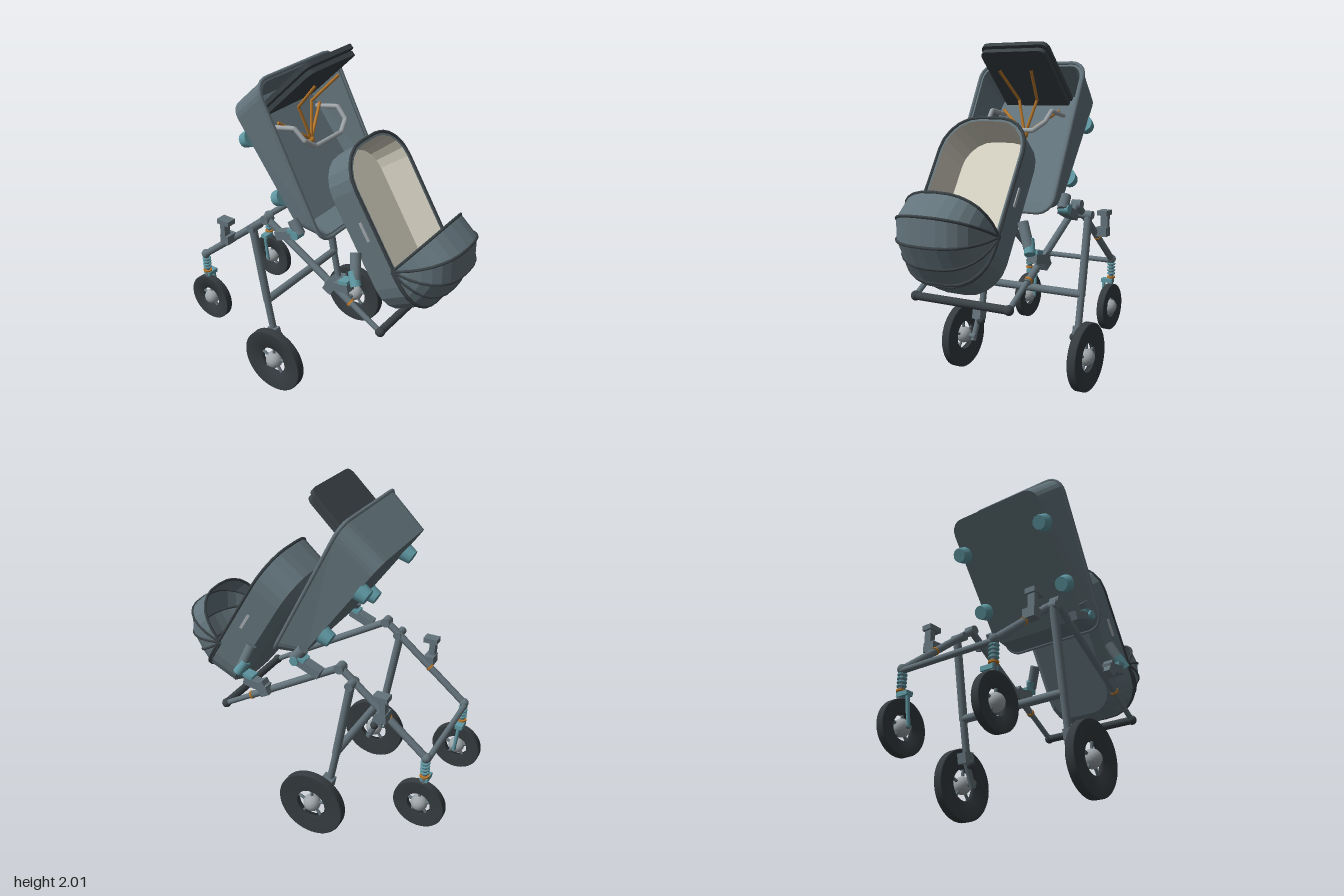
import * as THREE from 'three';

const mat = (name, color, side = THREE.FrontSide, flatShading = false) => {
  const m = new THREE.MeshStandardMaterial({ color, side, flatShading });
  m.name = name;
  return m;
};

export function createModel() {
  const model = new THREE.Group();
  const slate = mat('slate', 0x63747c, THREE.DoubleSide, true);
  const dark = mat('charcoal', 0x3a4246);
  const rubber = mat('rubber', 0x353b3f);
  const teal = mat('teal', 0x5f98a3);
  const cream = mat('cream', 0xd6d2c2, THREE.DoubleSide, true);
  const orange = mat('orange', 0xb8772a);
  const silver = mat('silver', 0x9fa6aa);
  const tubeGrey = mat('frame grey', 0x63727a);

  const V = (x, y, z) => new THREE.Vector3(x, y, z);
  const add = (name, geo, m, parent = model) => {
    const mesh = new THREE.Mesh(geo, m);
    mesh.name = name;
    parent.add(mesh);
    return mesh;
  };
  const rod = (name, a, b, r, m, parent = model, r2 = r) => {
    const mesh = add(name, new THREE.CylinderGeometry(r2, r, a.distanceTo(b), 14), m, parent);
    mesh.position.copy(a).lerp(b, 0.5);
    mesh.quaternion.setFromUnitVectors(V(0, 1, 0), b.clone().sub(a).normalize());
    return mesh;
  };
  const box = (name, size, pos, m, rz = 0, parent = model) => {
    const mesh = add(name, new THREE.BoxGeometry(...size), m, parent);
    mesh.position.set(...pos);
    mesh.rotation.z = rz;
    return mesh;
  };
  const ball = (name, pos, r, m, parent = model) => {
    const mesh = add(name, new THREE.SphereGeometry(r, 18, 12), m, parent);
    mesh.position.set(...pos);
    return mesh;
  };
  // Piping that follows straight segments between points
  const piping = (name, pts, closed, r, m, parent = model) => {
    const path = new THREE.CurvePath();
    pts.forEach((p, i) => {
      if (i < pts.length - 1) path.add(new THREE.LineCurve3(p, pts[i + 1]));
    });
    if (closed) path.add(new THREE.LineCurve3(pts[pts.length - 1], pts[0]));
    return add(name, new THREE.TubeGeometry(path, 110, r, 7, false), m, parent);
  };
  // Skin through rows of points
  const loft = (rows, closed = true) => {
    const n = rows[0].length, idx = [];
    for (let i = 0; i < rows.length - 1; i++)
      for (let k = 0; k < (closed ? n : n - 1); k++) {
        const a = i * n + k, b = i * n + (k + 1) % n;
        idx.push(a, a + n, b, b, a + n, b + n);
      }
    const g = new THREE.BufferGeometry().setFromPoints(rows.flat());
    g.setIndex(idx);
    g.computeVertexNormals();
    return g;
  };
  // Rounded rectangle from d0 to d1, half width w, height running from y0 to y1
  const ring = (d0, d1, w, r, y0, y1 = y0, n = 5) => {
    const pts = [];
    for (let q = 0; q < 4; q++)
      for (let s = 0; s <= n; s++) {
        const a = (q + s / n) * Math.PI / 2;
        const x = (q % 3 === 0 ? d1 - r : d0 + r) + r * Math.cos(a);
        const z = (q < 2 ? w - r : r - w) + r * Math.sin(a);
        pts.push(V(x, y0 + (y1 - y0) * (x - d0) / (d1 - d0), z));
      }
    return pts;
  };
  const centre = (row) => {
    const c = row.reduce((s, p) => s.add(p), V(0, 0, 0)).divideScalar(row.length);
    return row.map(() => c);
  };

  // Wheels: tyre, open spokes, round hub
  const wheel = (name, x, y, z, R, inner, hub, width) => {
    const g = new THREE.Group();
    g.name = name;
    g.position.set(x, y, z);
    const h = width / 2;
    const profile = [[inner, -h * 0.6], [R * 0.97, -h], [R, -h * 0.8], [R, h * 0.8], [R * 0.97, h], [inner, h * 0.6], [inner, -h * 0.6]];
    add('tyre', new THREE.LatheGeometry(profile.map(p => new THREE.Vector2(...p)), 40), rubber, g).rotation.x = Math.PI / 2;
    ball('hub', [0, 0, 0], hub, silver, g);
    for (let i = 0; i < 5; i++) {
      const a = i * Math.PI * 0.4 + 0.3;
      rod('spoke', V(0, 0, 0), V(Math.cos(a) * inner * 1.05, Math.sin(a) * inner * 1.05, 0), 0.009, tubeGrey, g);
    }
    model.add(g);
  };

  for (const s of [1, -1]) {
    wheel('largeWheel', -0.125, 0.208, s * 0.432, 0.204, 0.09, 0.052, 0.056);
    wheel('smallWheel', -0.735, 0.352, s * 0.305, 0.149, 0.068, 0.048, 0.048);

    // Main side tubes
    const top = V(-0.24, 1.085, s * 0.305);
    rod('frontLegTube', V(-0.755, 0.665, s * 0.305), top, 0.021, tubeGrey);
    rod('handleTube', top, V(0.35, 0.735, s * 0.305), 0.021, tubeGrey);
    rod('handleExtension', V(0.33, 0.745, s * 0.302), V(0.53, 0.625, s * 0.3), 0.016, tubeGrey);
    rod('topJoint', V(-0.24, 1.085, s * 0.275), V(-0.24, 1.085, s * 0.335), 0.028, tubeGrey);
    rod('legJoint', V(-0.318, 1.015, s * 0.28), V(-0.318, 1.015, s * 0.37), 0.025, tubeGrey);
    rod('frontBand', V(-0.535, 0.845, s * 0.305), V(-0.525, 0.853, s * 0.305), 0.024, orange);
    rod('handleBand', V(0.33, 0.747, s * 0.305), V(0.342, 0.74, s * 0.305), 0.024, orange);
    ball('handleEnd', [0.53, 0.625, s * 0.3], 0.028, dark);

    // Rear leg, suspension arm and axle
    rod('rearLeg', V(-0.235, 0.54, s * 0.342), V(-0.318, 1.01, s * 0.342), 0.024, tubeGrey);
    rod('rearLegLower', V(-0.195, 0.33, s * 0.342), V(-0.24, 0.56, s * 0.342), 0.021, tubeGrey);
    box('suspensionBlock', [0.07, 0.06, 0.06], [-0.19, 0.335, s * 0.355], tubeGrey, 0.2);
    rod('suspensionArm', V(-0.19, 0.33, s * 0.356), V(-0.12, 0.18, s * 0.356), 0.018, tubeGrey);
    rod('rearAxle', V(-0.125, 0.208, s * 0.34), V(-0.125, 0.208, s * 0.43), 0.016, tubeGrey);
    ball('suspensionKnob', [-0.17, 0.3, s * 0.33], 0.027, dark);

    // Sprung caster with a one-sided fork
    ball('casterJoint', [-0.757, 0.665, s * 0.305], 0.028, tubeGrey);
    rod('casterPost', V(-0.755, 0.5, s * 0.305), V(-0.755, 0.67, s * 0.305), 0.015, tubeGrey);
    for (let i = 0; i < 4; i++) {
      const coil = add('springCoil', new THREE.TorusGeometry(0.02, 0.007, 8, 18), teal);
      coil.position.set(-0.755, 0.57 + i * 0.021, s * 0.305);
      coil.rotation.x = Math.PI / 2;
    }
    rod('casterBand', V(-0.755, 0.54, s * 0.305), V(-0.755, 0.55, s * 0.305), 0.027, orange);
    box('forkBridge', [0.045, 0.025, 0.075], [-0.755, 0.52, s * 0.28], teal);
    rod('fork', V(-0.755, 0.52, s * 0.256), V(-0.735, 0.345, s * 0.256), 0.011, teal);
    rod('casterAxle', V(-0.735, 0.352, s * 0.25), V(-0.735, 0.352, s * 0.305), 0.014, tubeGrey);

    // Accessory bracket on the front leg
    box('bracketTop', [0.085, 0.03, 0.062], [-0.51, 1.005, s * 0.36], tubeGrey);
    box('bracketPost', [0.035, 0.12, 0.045], [-0.522, 0.94, s * 0.36], tubeGrey);
    box('bracketClamp', [0.06, 0.055, 0.075], [-0.515, 0.885, s * 0.345], tubeGrey);

    // Seat and carrycot mounts
    for (const [x, y, tilt] of [[-0.065, 1.06, 0.38], [0.28, 0.855, 0.2]]) {
      box('mountBracket', [0.15, 0.05, 0.06], [x, y, s * 0.335], tubeGrey, tilt);
      box('mountPlate', [0.06, 0.02, 0.068], [x + 0.045, y + 0.045, s * 0.335], teal, tilt);
    }
    box('carrycotClamp', [0.06, 0.09, 0.06], [0.235, 0.84, s * 0.335], tubeGrey, -0.5);
    rod('seatArm', V(-0.03, 1.16, s * 0.335), V(0.025, 1.09, s * 0.345), 0.032, tubeGrey);
    rod('seatHinge', V(0.01, 1.09, s * 0.32), V(0.01, 1.09, s * 0.38), 0.026, teal);
    rod('carrycotArm', V(0.345, 1.055, s * 0.275), V(0.385, 0.93, s * 0.335), 0.03, tubeGrey);
    rod('carrycotHinge', V(0.36, 0.97, s * 0.32), V(0.4, 0.9, s * 0.35), 0.03, teal);
  }
  // Cross bars
  rod('handleGrip', V(0.53, 0.625, -0.3), V(0.53, 0.625, 0.3), 0.023, dark);
  rod('rearCrossBar', V(-0.235, 0.548, -0.342), V(-0.235, 0.548, 0.342), 0.024, tubeGrey);
  rod('frontCrossBar', V(-0.765, 0.652, -0.305), V(-0.765, 0.652, 0.305), 0.017, tubeGrey);

  // Tilted seat tub
  const seat = new THREE.Group();
  seat.name = 'seatTub';
  seat.position.set(-0.25, 1.9, 0);
  seat.rotation.z = Math.atan2(-0.889, 0.458);
  model.add(seat);
  const floorOut = ring(0.066, 0.84, 0.315, 0.08, -0.265, -0.145);
  const floorIn = ring(0.09, 0.82, 0.295, 0.07, -0.245, -0.125);
  const seatRim = ring(0, 0.917, 0.345, 0.085, 0);
  add('seatShell', loft([centre(floorOut), floorOut, seatRim, ring(0.02, 0.897, 0.325, 0.075, 0), floorIn, centre(floorIn)]), slate, seat);
  piping('seatRim', seatRim, true, 0.011, tubeGrey, seat);
  for (const s of [1, -1])
    for (const [d, h] of [[0.27, -0.262], [0.63, -0.212]]) {
      const knob = add('seatKnob', new THREE.CylinderGeometry(0.052, 0.042, 0.06, 12), teal, seat);
      knob.position.set(d, h, s * 0.295);
    }

  // Raised pad made of two rounded boards
  const board = new THREE.Shape();
  const L = 0.45, W = 0.218, c = 0.05;
  board.moveTo(0, -W);
  board.lineTo(L - c, -W).quadraticCurveTo(L, -W, L, -W + c);
  board.lineTo(L, W - c).quadraticCurveTo(L, W, L - c, W);
  board.lineTo(0, W);
  const pad = new THREE.Group();
  pad.name = 'seatPad';
  pad.position.set(-0.325, 1.68, 0);
  pad.rotation.z = Math.atan2(0.69, 0.72);
  model.add(pad);
  for (const [off, scale] of [[0.004, 1], [-0.032, 0.97]]) {
    const m = add('padBoard', new THREE.ExtrudeGeometry(board, { depth: 0.026, bevelEnabled: false, curveSegments: 6 }), dark, pad);
    m.rotation.x = -Math.PI / 2;
    m.position.y = off;
    m.scale.set(scale, scale, 1);
  }

  // Harness and bumper bar
  for (const s of [1, -1]) {
    piping('shoulderStrap', [V(-0.035, 1.86, s * 0.105), V(-0.19, 1.69, s * 0.06), V(-0.15, 1.485, 0)], false, 0.009, orange);
    rod('waistStrap', V(-0.23, 1.63, s * 0.19), V(-0.15, 1.49, 0), 0.009, orange);
  }
  ball('buckle', [-0.15, 1.485, 0], 0.02, orange);
  piping('bumperBar', [V(-0.26, 1.6, 0.2), V(-0.11, 1.63, 0.2), V(-0.05, 1.57, 0.19), V(-0.03, 1.52, 0.12),
    V(-0.03, 1.52, -0.12), V(-0.05, 1.57, -0.19), V(-0.11, 1.63, -0.2), V(-0.26, 1.6, -0.2)], false, 0.014, silver);

  // Carrycot with a cream lining
  const cot = new THREE.Group();
  cot.name = 'carrycot';
  cot.position.set(0.227, 1.595, 0);
  cot.rotation.z = Math.atan2(-0.854, 0.521);
  model.add(cot);
  const cotFloor = ring(0.085, 0.89, 0.2, 0.14, -0.237);
  const cotRim = ring(0, 0.966, 0.268, 0.2, 0);
  const lipIn = ring(0.02, 0.946, 0.248, 0.185, 0);
  const lineFloor = ring(0.05, 0.915, 0.225, 0.165, -0.19);
  add('cotShell', loft([centre(cotFloor), cotFloor, ring(0.025, 0.955, 0.25, 0.19, -0.188), cotRim, lipIn]), slate, cot);
  add('cotLining', loft([lipIn, lineFloor, centre(lineFloor)]), cream, cot);
  piping('cotRim', cotRim, true, 0.009, dark, cot);
  for (const s of [1, -1]) box('sideSlot', [0.11, 0.018, 0.008], [0.43, -0.07, s * 0.265], silver, 0, cot);

  // Folding hood: arches fanned about a side pivot
  const arches = [[52, 0.29], [22, 0.322], [-6, 0.303], [-33, 0.28], [-58.5, 0.3]].map(([deg, r]) => {
    const a = deg * Math.PI / 180, pts = [];
    for (let k = 0; k <= 14; k++) {
      const t = Math.PI * k / 14, co = Math.cos(t);
      const out = r * Math.pow(Math.sin(t), 0.72);
      const z = 0.268 * Math.sign(co) * Math.pow(Math.abs(co), 0.78);
      pts.push(V(0.568 + Math.cos(a) * out, 1.012 + Math.sin(a) * out, z));
    }
    return pts;
  });
  add('hood', loft(arches, false), slate);
  arches.forEach(p => piping('hoodRib', p, false, 0.008, dark));

  return model;
}
